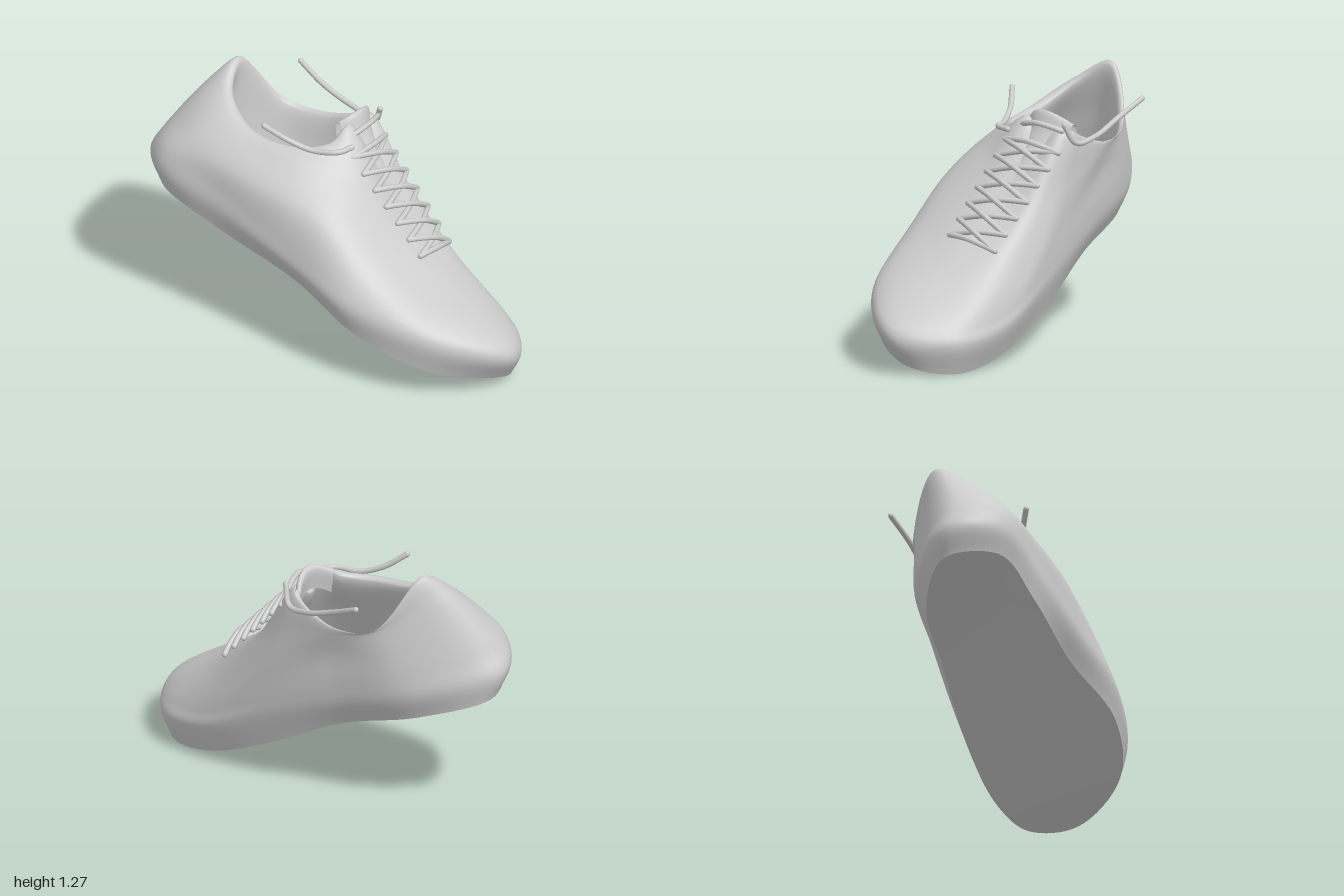
import * as THREE from 'three';
import { mergeVertices } from 'three/addons/utils/BufferGeometryUtils.js';

const V = (x, y, z) => new THREE.Vector3(x, y, z);
const mat = new THREE.MeshStandardMaterial({ color: 0xcccccc, side: THREE.DoubleSide });

// Closed outlines, each from the toe along +x to the heel and back along -x
const RINGS = {
  soleEdge: [[.16, .045, .93], [.33, 0, .78], [.36, .035, .5], [.31, .2, .1], [.21, .41, -.3], [.08, .535, -.7],
    [-.17, .645, -.96], [-.38, .68, -.8], [-.38, .58, -.45], [-.33, .44, 0], [-.35, .3, .4], [-.19, .15, .74]],
  soleWidest: [[.13, .17, 1], [.38, .15, .8], [.42, .19, .5], [.365, .36, .1], [.27, .53, -.3], [.13, .66, -.72],
    [-.2, .78, -1], [-.41, .8, -.82], [-.4, .7, -.45], [-.385, .55, 0], [-.375, .43, .38], [-.2, .3, .78]],
  soleTop: [[.12, .24, .98], [.36, .22, .78], [.41, .26, .48], [.37, .45, .08], [.285, .63, -.3], [.16, .76, -.68],
    [-.18, .88, -.95], [-.39, .9, -.8], [-.39, .79, -.44], [-.38, .64, 0], [-.36, .51, .36], [-.19, .38, .74]],
  middle: [[.14, .46, .61], [.32, .45, .5], [.385, .48, .27], [.36, .64, 0], [.29, .79, -.3], [.19, .9, -.62],
    [-.12, 1.04, -.86], [-.33, 1, -.71], [-.36, .92, -.4], [-.33, .83, 0], [-.27, .73, .25], [-.08, .6, .45]],
  throat: [[.17, .75, .23], [.3, .74, .2], [.35, .78, .06], [.345, .86, -.1], [.31, .91, -.32], [.21, 1, -.58],
    [-.03, 1.19, -.76], [-.2, 1.13, -.65], [-.26, 1.02, -.38], [-.22, .95, -.05], [-.1, .92, .1], [.04, .84, .2]],
  collar: [[.19, 1.03, -.03], [.29, 1.08, -.05], [.325, 1.06, -.09], [.33, 1.02, -.17], [.305, .965, -.36], [.23, 1, -.56],
    [.04, 1.27, -.69], [-.12, 1.18, -.62], [-.19, 1.07, -.42], [-.14, 1.04, -.17], [-.02, 1.06, -.04], [.09, 1.12, -.02]],
};

// Smooth surface from a rule f(u, v) -> Vector3, welded along its seams
function surface(name, f, nu, nv) {
  const pos = [], idx = [];
  for (let i = 0; i <= nu; i++) {
    for (let j = 0; j <= nv; j++) pos.push(...f(i / nu, j / nv).toArray());
  }
  for (let i = 0; i < nu; i++) {
    for (let j = 0; j < nv; j++) {
      const a = i * (nv + 1) + j, b = a + nv + 1;
      idx.push(a, b, b + 1, a, b + 1, a + 1);
    }
  }
  let geo = new THREE.BufferGeometry();
  geo.setAttribute('position', new THREE.Float32BufferAttribute(pos, 3));
  geo.setIndex(idx);
  geo = mergeVertices(geo, 1e-5);
  geo.computeVertexNormals();
  const mesh = new THREE.Mesh(geo, mat);
  mesh.name = name;
  return mesh;
}

// Round cord through points, with rounded ends
function cord(name, pts, r = 0.014) {
  const group = new THREE.Group();
  group.name = name;
  const curve = new THREE.CatmullRomCurve3(pts);
  group.add(new THREE.Mesh(new THREE.TubeGeometry(curve, 24, r, 8), mat));
  for (const p of [pts[0], pts[pts.length - 1]]) {
    const end = new THREE.Mesh(new THREE.SphereGeometry(r, 8, 6), mat);
    end.position.copy(p);
    group.add(end);
  }
  return group;
}

export function createModel() {
  const shoe = new THREE.Group();
  shoe.name = 'shoe';

  // Outer rings, then the lining rings derived from them
  const rings = Object.values(RINGS).map(r => r.map(p => V(...p)));
  const rim = rings[5].map(p => V(.08 + (p.x - .08) * .9, p.y - .02, -.34 + (p.z + .34) * .93));
  const insoleRing = rings[2].map(p => V(-.02 + (p.x + .02) * .8, .5 + (p.y - .5) * .6, -.35 + (p.z + .35) * .6));
  const lining = rim.map((p, i) => p.clone().lerp(insoleRing[i], .5));
  rings.push(rim, lining, insoleRing);
  const loops = rings.map(r => new THREE.CatmullRomCurve3(r, true));

  // Sidewall, upper, collar and lining as one smooth shell
  const N = 96;
  const ribs = [];
  for (let i = 0; i <= N; i++) {
    ribs.push(new THREE.CatmullRomCurve3(loops.map(l => l.getPoint((i % N) / N))));
  }
  shoe.add(surface('upper', (u, v) => ribs[Math.round(u * N)].getPoint(v), N, 56));

  // Flat panels spanning a loop from one side to the other
  const span = (name, loop, flip) => surface(name, (u, v) => {
    const left = loop.getPoint(u / 2), right = loop.getPoint((1 - u / 2) % 1);
    return flip ? right.lerp(left, v) : left.lerp(right, v);
  }, N / 2, 8);
  shoe.add(span('soleBottom', loops[0], true), span('insole', loops[8], false));

  // Tongue, arched across its width
  const spine = new THREE.CatmullRomCurve3([
    V(.17, .68, .27), V(.18, .88, .12), V(.19, 1.06, .005), V(.2, 1.155, -.035), V(.2, 1.14, -.06), V(.2, 1.03, -.05)]);
  shoe.add(surface('tongue', (u, v) => {
    const s = 2 * u - 1, p = spine.getPoint(v);
    return V(p.x + s * .12, p.y - .05 * s * s - .015 * s, p.z - .05 * s * s - .015 * s);
  }, 16, 30));

  // Criss-crossed laces between two rows of eyelets
  const laces = new THREE.Group();
  laces.name = 'laces';
  const rows = 7;
  const rightEye = i => V(.04, .6, .48).lerp(V(.02, 1.0, .06), i / (rows - 1));
  const leftEye = i => V(.3, .55, .44).lerp(V(.325, .97, .01), i / (rows - 1));
  const strand = (name, a, b, lift) => {
    const bow = t => a.clone().lerp(b, t).add(V(0, .65, .75).multiplyScalar(lift * Math.sin(Math.PI * t)));
    laces.add(cord(name, [0, .15, .5, .85, 1].map(bow)));
  };
  strand('bottomBar', rightEye(0), leftEye(0), .035);
  for (let i = 0; i < rows - 1; i++) {
    strand('crossLace', rightEye(i), leftEye(i + 1), .03);
    strand('crossLace', leftEye(i), rightEye(i + 1), .05);
  }
  strand('topBar', rightEye(rows - 1), leftEye(rows - 1), .05);
  strand('tongueBar', V(.09, 1.08, .01), V(.31, 1.07, -.03), .04);

  // Loose lace ends
  laces.add(cord('rightLooseEnd', [
    V(.03, 1.05, .05), V(-.05, 1.05, .03), V(-.11, 1.045, -.08), V(-.17, 1.09, -.19), V(-.24, 1.165, -.28)]));
  laces.add(cord('leftLooseEnd', [
    V(.33, 1.1, -.03), V(.355, 1.01, -.08), V(.36, 1.02, -.22), V(.345, 1.08, -.4), V(.355, 1.15, -.56)]));
  shoe.add(laces);
  return shoe;
}
